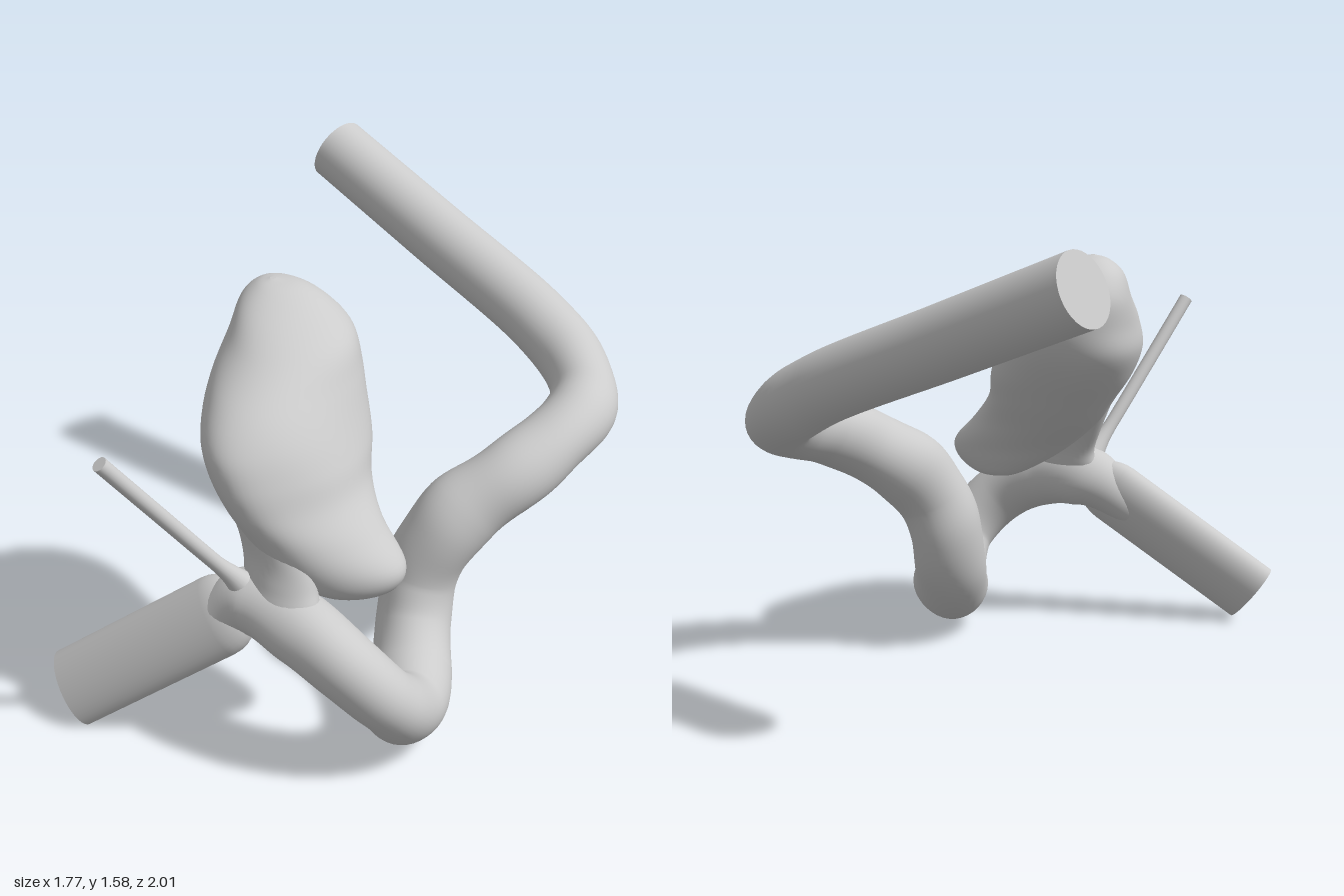
import * as THREE from 'three';
import { mergeGeometries } from 'three/addons/utils/BufferGeometryUtils.js';

const V = (x, y, z) => new THREE.Vector3(x, y, z);
const grey = new THREE.MeshStandardMaterial({ color: 0xcccccc });

// Skin a list of rings (counter-clockwise about the direction of travel); ends are flat caps
function loft(rings) {
  const n = rings[0].length, idx = [];
  for (let i = 0; i < rings.length - 1; i++) {
    for (let j = 0; j < n; j++) {
      const a = i * n + j, b = i * n + (j + 1) % n;
      idx.push(a, b, a + n, b, b + n, a + n);
    }
  }
  const wall = new THREE.BufferGeometry().setFromPoints(rings.flat());
  wall.setIndex(idx);
  const cap = (ring, flip) => {
    const centre = ring.reduce((s, p) => s.add(p), V(0, 0, 0)).divideScalar(n);
    const g = new THREE.BufferGeometry().setFromPoints([...ring, centre]);
    const f = [];
    for (let j = 0; j < n; j++) {
      const k = (j + 1) % n;
      f.push(...(flip ? [k, j, n] : [j, k, n]));
    }
    return g.setIndex(f);
  };
  const parts = [wall, cap(rings[0], true), cap(rings.at(-1), false)];
  parts.forEach((g) => g.computeVertexNormals());
  return mergeGeometries(parts);
}

// Gentle organic surface variation
const lump = (p) => Math.sin(p.x * 13 + p.y * 7) * Math.sin(p.z * 12 - p.y * 9 + 1);

// Round tube through rows of [x, y, z, radius]
function sweep(rows, steps, sides, bumpy = 0) {
  const curve = new THREE.CatmullRomCurve3(rows.map((r) => V(r[0], r[1], r[2])));
  const frames = curve.computeFrenetFrames(steps);
  const rings = [];
  for (let i = 0; i <= steps; i++) {
    const t = curve.getUtoTmapping(i / steps), c = curve.getPoint(t);
    const s = t * (rows.length - 1), k = Math.min(Math.floor(s), rows.length - 2);
    const r = THREE.MathUtils.lerp(rows[k][3], rows[k + 1][3], s - k);
    const ring = [];
    for (let j = 0; j < sides; j++) {
      const a = (j / sides) * Math.PI * 2;
      const dir = frames.normals[i].clone().multiplyScalar(Math.cos(a))
        .addScaledVector(frames.binormals[i], Math.sin(a));
      const p = c.clone().addScaledVector(dir, r);
      // the straight end stays smooth
      const fade = THREE.MathUtils.smoothstep(c.x, 0.15, 0.4);
      ring.push(p.addScaledVector(dir, bumpy * fade * lump(p)));
    }
    rings.push(ring);
  }
  return loft(rings);
}

// Straight pipe with an oval section, wide along the given axis, domed at the far end
function ovalPipe(from, to, wideAxis, wide, narrow, dome, sides) {
  const d = to.clone().sub(from).normalize();
  const a = wideAxis.clone().addScaledVector(d, -wideAxis.dot(d)).normalize();
  const b = d.clone().cross(a);
  const ring = (c, k) => Array.from({ length: sides }, (_, j) => {
    const t = (j / sides) * Math.PI * 2;
    return c.clone().addScaledVector(a, k * wide * Math.cos(t)).addScaledVector(b, k * narrow * Math.sin(t));
  });
  const rings = [ring(from, 1)];
  for (let i = 0; i < 8; i++) {
    const t = (i / 8) * Math.PI / 2;
    rings.push(ring(to.clone().addScaledVector(d, dome * Math.sin(t)), Math.cos(t)));
  }
  return loft(rings);
}

// Bulging body from horizontal slices [y, xMin, xMax, zMin, zMax, skew]
function sliced(slices, steps, sides) {
  const mid = new THREE.CatmullRomCurve3(slices.map(([y, x0, x1, z0, z1]) => V((x0 + x1) / 2, y, (z0 + z1) / 2)));
  const size = new THREE.CatmullRomCurve3(slices.map(([, x0, x1, z0, z1, k]) => V((x1 - x0) / 2, (z1 - z0) / 2, k)));
  mid.curveType = size.curveType = 'catmullrom';
  const rings = [];
  for (let i = 0; i <= steps; i++) {
    const c = mid.getPoint(i / steps), s = size.getPoint(i / steps);
    rings.push(Array.from({ length: sides }, (_, j) => {
      const t = (j / sides) * Math.PI * 2;
      // fuller towards the back left, flatter towards the front right
      const full = 0.12 * s.y * Math.cos(t + Math.PI / 4) ** 2;
      const p = V(c.x + s.x * Math.sin(t + s.z) + full, c.y, c.z + s.y * Math.cos(t) - full);
      const k = 1 + 0.02 * lump(p);
      return V(c.x + (p.x - c.x) * k, p.y, c.z + (p.z - c.z) * k);
    }));
  }
  return loft(rings);
}

export function createModel() {
  const model = new THREE.Group();
  const add = (name, geometry) => {
    const mesh = new THREE.Mesh(geometry, grey);
    mesh.name = name;
    model.add(mesh);
  };

  // Straight oval inlet
  add('inletPipe', ovalPipe(V(-0.115, 0.1, 0.913), V(0.28, 0.477, 0.575), V(0.7, -0.7, 0), 0.136, 0.078, 0.14, 40));

  // Looping vessel ending in the straight outlet
  add('loopVessel', sweep([
    [0.2, 0.4, 0.64, 0.065], [0.36, 0.545, 0.495, 0.112], [0.55, 0.525, 0.44, 0.118],
    [0.705, 0.43, 0.365, 0.112], [0.768, 0.295, 0.255, 0.107], [0.7, 0.17, 0.12, 0.126],
    [0.57, 0.185, 0, 0.135], [0.46, 0.3, -0.09, 0.13], [0.43, 0.43, -0.14, 0.125],
    [0.45, 0.57, -0.185, 0.128], [0.48, 0.685, -0.28, 0.13], [0.525, 0.775, -0.42, 0.125],
    [0.55, 0.855, -0.58, 0.12], [0.515, 0.9, -0.73, 0.118], [0.43, 0.935, -0.84, 0.116],
    [0.3, 1.005, -0.885, 0.116], [0.13, 1.09, -0.88, 0.116], [-0.35, 1.278, -0.799, 0.116],
    [-0.84, 1.47, -0.715, 0.116],
  ], 200, 36, 0.008));

  // Sac, bottom to top
  add('sac', sliced([
    [0.565, 0.51, 0.53, 0.22, 0.24, 0], [0.58, 0.45, 0.59, 0.15, 0.31, -0.2],
    [0.63, 0.36, 0.66, 0.11, 0.4, -0.3], [0.7, 0.26, 0.67, 0.09, 0.47, -0.3],
    [0.8, 0.12, 0.6, 0.08, 0.53, 0], [0.9, 0.01, 0.53, 0.03, 0.585, 0.25],
    [1.0, -0.1, 0.49, -0.03, 0.615, 0.35], [1.1, -0.175, 0.44, -0.07, 0.61, 0.4],
    [1.2, -0.195, 0.37, -0.09, 0.535, 0.38], [1.3, -0.205, 0.28, -0.075, 0.39, 0.25],
    [1.38, -0.17, 0.15, -0.015, 0.285, 0.1], [1.425, -0.11, 0.05, 0.05, 0.2, 0],
    [1.44, -0.05, -0.03, 0.12, 0.14, 0],
  ], 72, 56));

  // Broad neck joining the sac to the vessel
  add('neck', sliced([
    [0.54, 0.3, 0.57, 0.4, 0.54, 0], [0.6, 0.28, 0.6, 0.37, 0.545, -0.1], [0.66, 0.27, 0.58, 0.36, 0.525, -0.1],
    [0.74, 0.22, 0.55, 0.34, 0.51, -0.1], [0.86, 0.14, 0.48, 0.28, 0.53, 0],
  ], 24, 36));

  // Thin side branch with a flared root
  add('thinBranch', sweep([
    [0.36, 0.61, 0.52, 0.05], [0.352, 0.67, 0.567, 0.032], [0.345, 0.72, 0.61, 0.025],
    [0.32, 0.95, 0.795, 0.025], [0.297, 1.18, 0.98, 0.025],
  ], 24, 20));

  return model;
}
